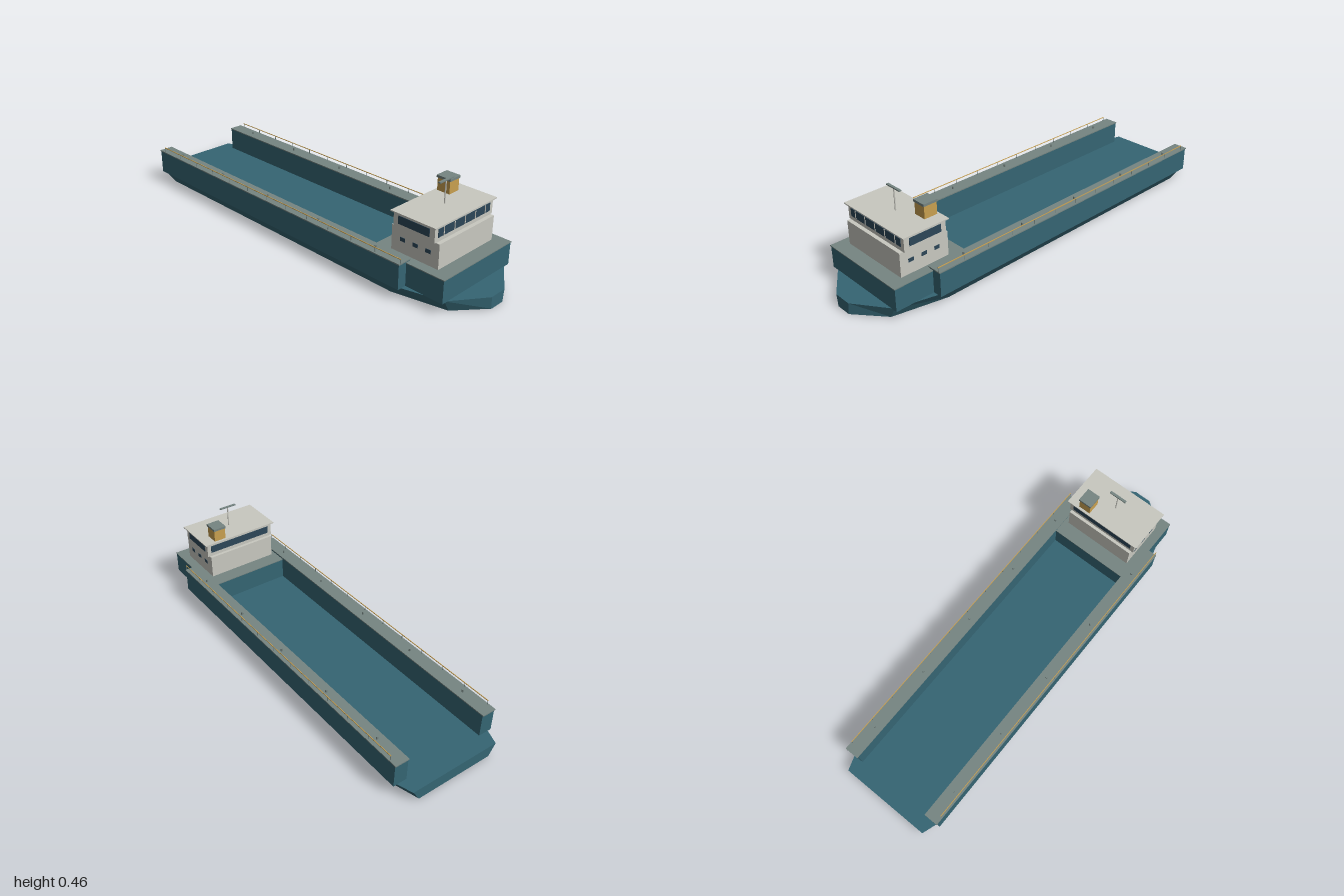
import * as THREE from 'three';

const mat = (name, color) => {
  const m = new THREE.MeshStandardMaterial({ color });
  m.name = name;
  return m;
};

export function createModel() {
  const ship = new THREE.Group();
  ship.name = 'bargeShip';

  const teal = mat('hullTeal', 0x356573);
  const grey = mat('deckGrey', 0x768582);
  const white = mat('houseWhite', 0xc8c8c0);
  const yellow = mat('mustard', 0xc8a050);
  const glass = mat('windowGlass', 0x2c4658);

  const add = (name, geometry, material, parent = ship) => {
    const mesh = new THREE.Mesh(geometry, material);
    mesh.name = name;
    parent.add(mesh);
    return mesh;
  };
  // Box given by its limits on each axis
  const box = (name, material, [x0, x1], [y0, y1], [z0, z1], parent) => {
    const g = new THREE.BoxGeometry(x1 - x0, y1 - y0, z1 - z0);
    g.translate((x0 + x1) / 2, (y0 + y1) / 2, (z0 + z1) / 2);
    return add(name, g, material, parent);
  };
  const post = (name, material, radius, x, y0, y1, z, sides, parent) => {
    const g = new THREE.CylinderGeometry(radius, radius, y1 - y0, sides);
    g.translate(x, (y0 + y1) / 2, z);
    return add(name, g, material, parent);
  };

  // Pontoon hull: plan outline extruded upward, narrower at the keel
  const half = [[0.225, -1], [0.267, -0.88], [0.267, 0.64], [0.2, 0.89], [0.043, 1]];
  const outline = [...half, ...half.map(([x, z]) => [-x, z]).reverse()];
  const plan = new THREE.Shape(outline.map(([x, z]) => new THREE.Vector2(x, -z)));
  let hull = new THREE.ExtrudeGeometry(plan, { depth: 0.056, bevelEnabled: false });
  hull.rotateX(-Math.PI / 2);
  const p = hull.attributes.position;
  for (let i = 0; i < p.count; i++) if (p.getY(i) < 0.01) p.setX(i, p.getX(i) * 0.85);
  if (hull.index) hull = hull.toNonIndexed();
  hull.computeVertexNormals();
  add('hull', hull, teal);

  // Wing walls with deck plates, bollards and railings
  for (const s of [-1, 1]) {
    const side = new THREE.Group();
    side.name = s > 0 ? 'leftWing' : 'rightWing';
    ship.add(side);
    const span = (a, b) => (s > 0 ? [a, b] : [-b, -a]);
    box('wingWall', teal, span(0.2, 0.267), [0.055, 0.168], [-0.93, 0.71], side);
    box('wingDeck', grey, span(0.199, 0.269), [0.168, 0.173], [-0.935, 0.713], side);
    for (let i = 0; i < 5; i++) {
      post('bollard', grey, 0.005, s * 0.233, 0.173, 0.186, -0.78 + i * 0.334, 10, side);
    }
    for (let i = 0; i < 13; i++) {
      post('railPost', grey, 0.0015, s * 0.262, 0.173, 0.195, -0.895 + i * 0.134, 6, side);
    }
    box('handrail', yellow, span(0.2605, 0.2635), [0.193, 0.196], [-0.897, 0.715], side);
  }

  // Raised foredeck
  box('foredeckBlock', teal, [-0.222, 0.222], [0.055, 0.159], [0.52, 0.897]);
  box('foredeckPlate', grey, [-0.224, 0.224], [0.159, 0.163], [0.518, 0.9]);

  // Deckhouse and bridge
  const house = new THREE.Group();
  house.name = 'deckhouse';
  ship.add(house);
  box('lowerHouse', white, [-0.178, 0.178], [0.163, 0.275], [0.592, 0.833], house);
  box('bridge', white, [-0.188, 0.188], [0.275, 0.343], [0.607, 0.815], house);
  box('roof', white, [-0.2, 0.2], [0.343, 0.348], [0.598, 0.826], house);

  // Bridge windows all round, mullions at the front
  box('frontWindow', glass, [-0.168, 0.168], [0.294, 0.331], [0.814, 0.817], house);
  box('rearWindow', glass, [-0.168, 0.168], [0.294, 0.331], [0.605, 0.608], house);
  for (let i = -2; i <= 2; i++) {
    const x = i * 0.067;
    box('mullion', white, [x - 0.002, x + 0.002], [0.294, 0.331], [0.816, 0.819], house);
  }
  for (const s of [-1, 1]) {
    const plate = (x) => [s * x - 0.0015, s * x + 0.0015];
    box('sideWindow', glass, plate(0.1885), [0.295, 0.331], [0.632, 0.79], house);
    for (const z of [0.65, 0.715, 0.78]) {
      box('cabinWindow', glass, plate(0.1785), [0.217, 0.234], [z - 0.013, z + 0.013], house);
    }
  }

  // Funnel
  box('funnel', yellow, [0.08, 0.141], [0.348, 0.406], [0.61, 0.674], house);
  box('funnelCap', grey, [0.077, 0.144], [0.406, 0.417], [0.606, 0.678], house);

  // Mast with radar bar
  post('mast', white, 0.003, 0, 0.348, 0.45, 0.712, 8, house);
  box('radarBar', grey, [-0.044, 0.044], [0.45, 0.455], [0.706, 0.718], house);

  return ship;
}
